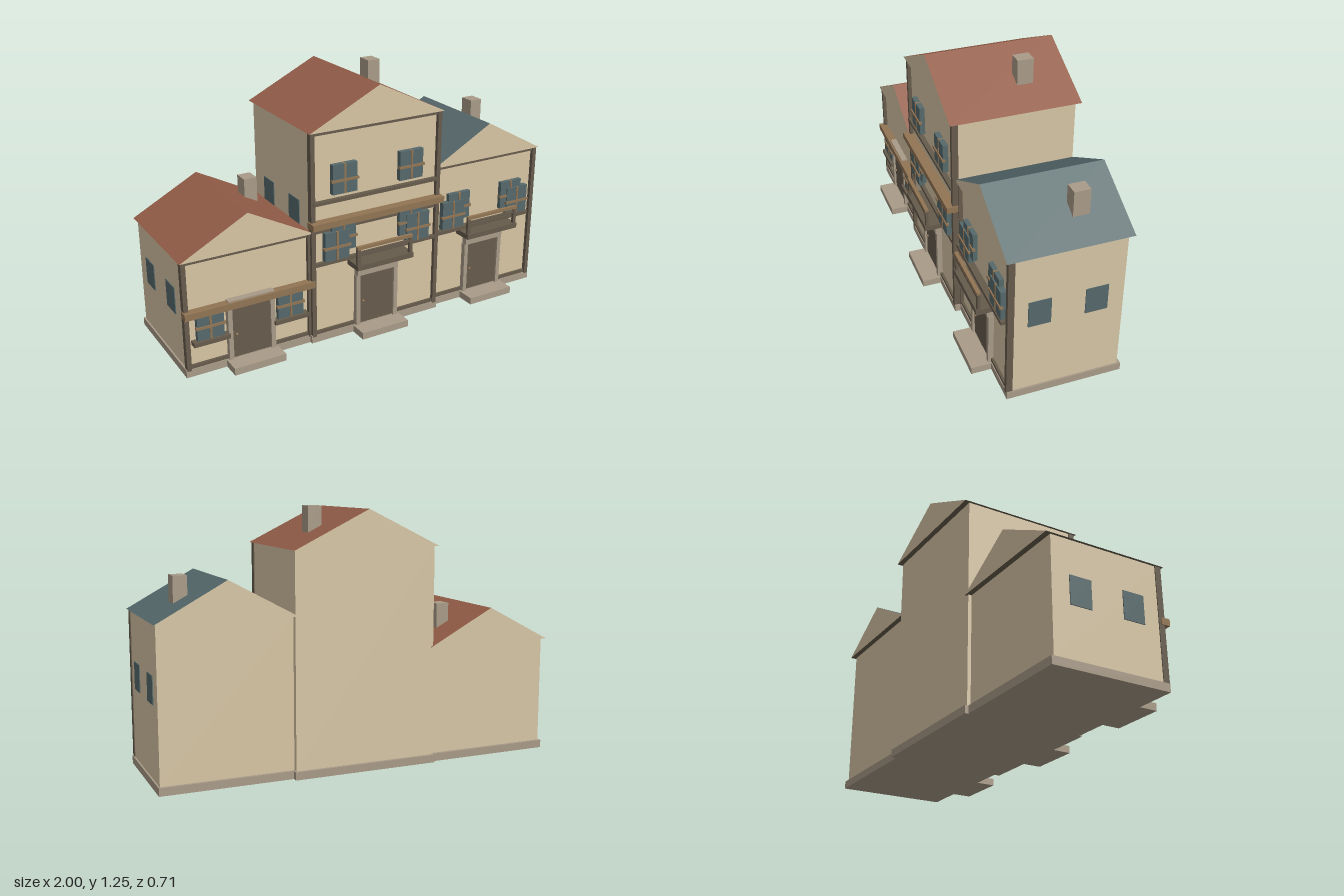
import * as THREE from 'three';

const mat = (name, color) => {
  const m = new THREE.MeshStandardMaterial({ color });
  m.name = name;
  return m;
};

export function createModel() {
  const cream = mat('cream plaster', 0xd6c5a4);
  const red = mat('red roof', 0x935d48);
  const teal = mat('teal roof and glass', 0x56696b);
  const stone = mat('stone', 0xa89a87);
  const dark = mat('dark timber', 0x665b4c);
  const brown = mat('brown timber', 0x917453);

  const model = new THREE.Group();
  model.name = 'townhouses';

  // Box given by its lower and upper limits on each axis
  const box = (parent, name, m, x0, x1, y0, y1, z0, z1) => {
    const mesh = new THREE.Mesh(new THREE.BoxGeometry(x1 - x0, y1 - y0, z1 - z0), m);
    mesh.position.set((x0 + x1) / 2, (y0 + y1) / 2, (z0 + z1) / 2);
    mesh.name = name;
    parent.add(mesh);
  };

  // Gable prism: plaster ends, coloured slopes, dark underside
  const gableRoof = (parent, m, x0, x1, eave, ridge, z0, z1) => {
    const A = [x0, eave], B = [x1, eave], C = [(x0 + x1) / 2, ridge];
    const f = ([x, y]) => [x, y, z1], b = ([x, y]) => [x, y, z0];
    const quad = (p, q) => [f(p), b(p), b(q), f(p), b(q), f(q)];
    const corners = [
      f(A), f(B), f(C), b(B), b(A), b(C),
      ...quad(C, A), ...quad(B, C), ...quad(A, B),
    ];
    const g = new THREE.BufferGeometry();
    g.setAttribute('position', new THREE.Float32BufferAttribute(corners.flat(), 3));
    g.computeVertexNormals();
    g.addGroup(0, 6, 0);
    g.addGroup(6, 12, 1);
    g.addGroup(18, 6, 2);
    const mesh = new THREE.Mesh(g, [cream, m, dark]);
    mesh.name = 'gableRoof';
    parent.add(mesh);
  };

  // Two-leaf window with a vertical bar and a horizontal bar
  const frontWindow = (parent, x, y, z, h = 0.145) => {
    const g = new THREE.Group();
    g.name = 'window';
    for (const s of [-1, 1]) {
      const cx = x + s * 0.035;
      box(g, 'windowLeaf', teal, cx - 0.03, cx + 0.03, y - h / 2, y + h / 2, z - 0.03, z);
    }
    box(g, 'windowPost', brown, x - 0.005, x + 0.005, y - h / 2, y + h / 2, z - 0.03, z + 0.003);
    box(g, 'windowBar', brown, x - 0.072, x + 0.072, y - 0.012, y, z - 0.01, z + 0.006);
    parent.add(g);
  };

  // Stone surround, door leaf, knob and step
  const doorway = (parent, x, z, top, stepZ) => {
    const g = new THREE.Group();
    g.name = 'doorway';
    box(g, 'door', dark, x - 0.098, x + 0.098, 0.03, top, z - 0.01, z + 0.015);
    for (const s of [-1, 1]) {
      const c = x + s * 0.107;
      box(g, 'doorJamb', stone, c - 0.011, c + 0.011, 0.03, top, z - 0.01, z + 0.026);
    }
    box(g, 'doorLintel', stone, x - 0.115, x + 0.115, top, 0.338, z - 0.01, z + 0.032);
    box(g, 'doorStep', stone, x - 0.13, x + 0.13, 0, 0.035, z, stepZ);
    const knob = new THREE.Mesh(new THREE.SphereGeometry(0.007, 8, 6), brown);
    knob.position.set(x - 0.075, 0.155, z + 0.018);
    knob.name = 'doorKnob';
    g.add(knob);
    parent.add(g);
  };

  // Balcony floor with corner posts and rails
  const balcony = (parent, x, z) => {
    const g = new THREE.Group();
    g.name = 'balcony';
    const front = z + 0.097;
    box(g, 'balconyFloor', dark, x - 0.157, x + 0.157, 0.367, 0.393, z, front);
    for (const s of [-1, 1]) {
      const c = x + s * 0.146;
      box(g, 'balconyPost', dark, c - 0.009, c + 0.009, 0.39, 0.475, front - 0.02, front - 0.006);
    }
    box(g, 'balconyHandrail', brown, x - 0.154, x + 0.154, 0.472, 0.487, front - 0.022, front - 0.004);
    box(g, 'balconyRail', dark, x - 0.146, x + 0.146, 0.448, 0.46, front - 0.018, front - 0.008);
    parent.add(g);
  };

  // Shell shared by all three houses
  const house = ({ name, x0, x1, eave, ridge, z0, z1, roof, chimney }) => {
    const g = new THREE.Group();
    g.name = name;
    model.add(g);
    box(g, 'walls', cream, x0, x1, 0.03, eave, z0, z1);
    box(g, 'plinth', stone, x0 - 0.008, x1 + 0.008, 0, 0.038, z0 - 0.015, z1 + 0.016);
    gableRoof(g, roof, x0 - 0.012, x1 + 0.012, eave, ridge, z0 - 0.027, z1 + 0.027);
    for (const x of [x0 + 0.007, x1 - 0.007])
      box(g, 'cornerPost', dark, x - 0.011, x + 0.011, 0.032, eave, z1 - 0.012, z1 + 0.018);
    box(g, 'eaveBeam', dark, x0, x1, eave - 0.017, eave - 0.001, z1 - 0.01, z1 + 0.014);
    box(g, 'baseBeam', dark, x0, x1, 0.036, 0.055, z1 - 0.01, z1 + 0.012);
    box(g, 'chimney', stone, chimney - 0.033, chimney + 0.033, ridge - 0.115, ridge + 0.012, -0.171, -0.093);
    // Windows on both side walls
    for (const x of [x0, x1])
      for (const z of [0.091, -0.174])
        box(g, 'sideWindow', teal, x - 0.004, x + 0.004, eave * 0.6 - 0.066, eave * 0.6 + 0.066, z - 0.053, z + 0.053);
    return g;
  };

  // Low house on the right-hand side
  const low = house({ name: 'lowHouse', x0: -0.987, x1: -0.352, eave: 0.571, ridge: 0.745,
    z0: -0.312, z1: 0.232, roof: red, chimney: -0.492 });
  doorway(low, -0.668, 0.232, 0.3, 0.338);
  box(low, 'shopCornice', brown, -0.995, -0.345, 0.299, 0.331, 0.23, 0.274);
  for (const x of [-0.87, -0.468]) {
    frontWindow(low, x, 0.245, 0.257, 0.14);
    box(low, 'windowSill', dark, x - 0.088, x + 0.088, 0.156, 0.176, 0.23, 0.272);
  }

  // Tall house in the middle
  const tall = house({ name: 'tallHouse', x0: -0.354, x1: 0.354, eave: 1.057, ridge: 1.236,
    z0: -0.329, z1: 0.248, roof: red, chimney: 0.194 });
  doorway(tall, -0.003, 0.248, 0.303, 0.357);
  box(tall, 'cornice', brown, -0.365, 0.365, 0.596, 0.627, 0.24, 0.297);
  box(tall, 'upperBelt', dark, -0.345, 0.345, 0.706, 0.722, 0.24, 0.272);
  box(tall, 'corniceBelt', dark, -0.345, 0.345, 0.562, 0.574, 0.24, 0.256);
  box(tall, 'lowerBelt', dark, -0.345, 0.345, 0.396, 0.414, 0.24, 0.266);
  balcony(tall, 0, 0.248);

  // Mid-height house on the left-hand side
  const mid = house({ name: 'midHouse', x0: 0.347, x1: 0.984, eave: 0.758, ridge: 0.938,
    z0: -0.303, z1: 0.22, roof: teal, chimney: 0.838 });
  doorway(mid, 0.663, 0.22, 0.303, 0.332);
  box(mid, 'lowerBelt', dark, 0.36, 0.945, 0.396, 0.414, 0.21, 0.252);
  balcony(mid, 0.663, 0.22);

  // Upper windows; first-floor ones are staggered pairs
  for (const s of [-1, 1]) {
    frontWindow(tall, s * 0.183, 0.818, 0.274);
    frontWindow(tall, s * 0.188, 0.528, 0.27);
    frontWindow(tall, s * 0.227, 0.49, 0.277);
    frontWindow(mid, 0.665 + s * 0.165, 0.528, 0.242);
    frontWindow(mid, 0.665 + s * 0.203, 0.49, 0.249);
  }
  return model;
}
